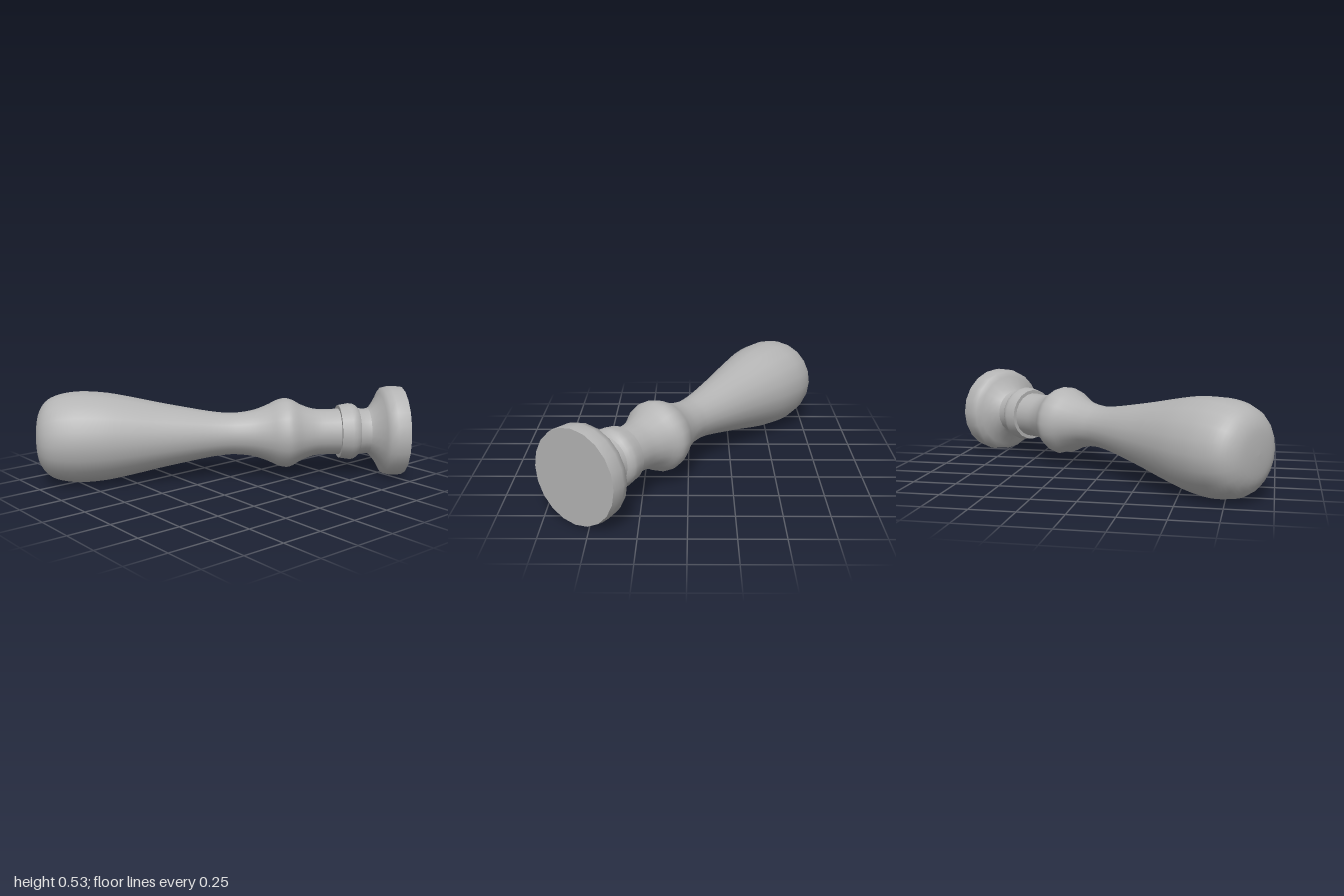
import * as THREE from 'three';

const SIDES = 20;
const AXIS = new THREE.Vector3(-0.572, 0, 0.82).normalize();
const DOWN = Math.atan2(AXIS.x, AXIS.z); // lathe angle that ends up underneath

// Turned part from [radius, distance] pairs, with an optional slot open underneath
function turned(name, points, material, slots = []) {
  const profile = points.map((p) => (p.isVector2 ? p : new THREE.Vector2(...p)));
  const geometry = new THREE.LatheGeometry(profile, SIDES, DOWN);
  const pos = geometry.attributes.position;
  const index = geometry.index.array;
  const kept = [];
  for (let i = 0; i < index.length; i += 3) {
    const tri = [index[i], index[i + 1], index[i + 2]];
    const mid = new THREE.Vector3();
    tri.forEach((v) => mid.add(new THREE.Vector3().fromBufferAttribute(pos, v)));
    mid.divideScalar(3);
    const angle = Math.atan2(mid.x, mid.z) - DOWN;
    const under = Math.cos(angle) > Math.cos((Math.PI * 2) / SIDES);
    const open = under && slots.some(([a, b]) => mid.y > a && mid.y < b);
    if (!open) kept.push(...tri);
  }
  geometry.setIndex(kept);
  const mesh = new THREE.Mesh(geometry, material);
  mesh.name = name;
  return mesh;
}

function smooth(points, count) {
  return new THREE.SplineCurve(points.map((p) => new THREE.Vector2(...p))).getPoints(count);
}

export function createModel() {
  const model = new THREE.Group();
  model.name = 'turnedHandle';
  const grey = new THREE.MeshStandardMaterial({ color: 0xb4b4b4, side: THREE.DoubleSide });
  grey.name = 'plainGrey';

  // Flat end and flared head
  model.add(turned('endFace', [[0, 0], [0.264, 0]], grey));
  model.add(turned('head', [
    [0.264, 0], [0.268, 0.03], [0.267, 0.075], [0.258, 0.113], [0.225, 0.13],
    [0.185, 0.155], [0.15, 0.182], [0.136, 0.2],
  ], grey, [[0.005, 0.113]]));

  // Neck and raised collar
  model.add(turned('neck', [[0.136, 0.2], [0.134, 0.23], [0.14, 0.262]], grey));
  model.add(turned('collar', [
    [0.14, 0.262], [0.155, 0.275], [0.166, 0.295], [0.168, 0.315], [0.163, 0.345], [0.158, 0.378],
  ], grey));
  model.add(turned('collarStep', [[0.158, 0.378], [0.137, 0.378]], grey));

  // Bulge, waist and swollen grip with a rounded end
  const grip = smooth([
    [0.137, 0.378], [0.135, 0.44], [0.139, 0.52], [0.165, 0.6], [0.198, 0.66], [0.206, 0.7],
    [0.194, 0.75], [0.165, 0.81], [0.138, 0.89], [0.125, 0.98], [0.125, 1.05], [0.137, 1.15],
    [0.165, 1.3], [0.195, 1.45], [0.228, 1.6], [0.255, 1.74], [0.266, 1.86], [0.264, 1.95],
    [0.246, 2.04], [0.21, 2.1], [0.15, 2.138], [0.075, 2.152], [0, 2.156],
  ], 66);
  grip[grip.length - 1].x = 0;
  model.add(turned('grip', grip, grey, [[0.65, 0.76], [1.5, 1.97]]));

  // Lay the turned axis level and diagonal
  model.quaternion.setFromUnitVectors(new THREE.Vector3(0, 1, 0), AXIS);
  model.position.set(0.575, 0.275, -0.85);

  const root = new THREE.Group();
  root.name = 'model';
  root.add(model);
  return root;
}
